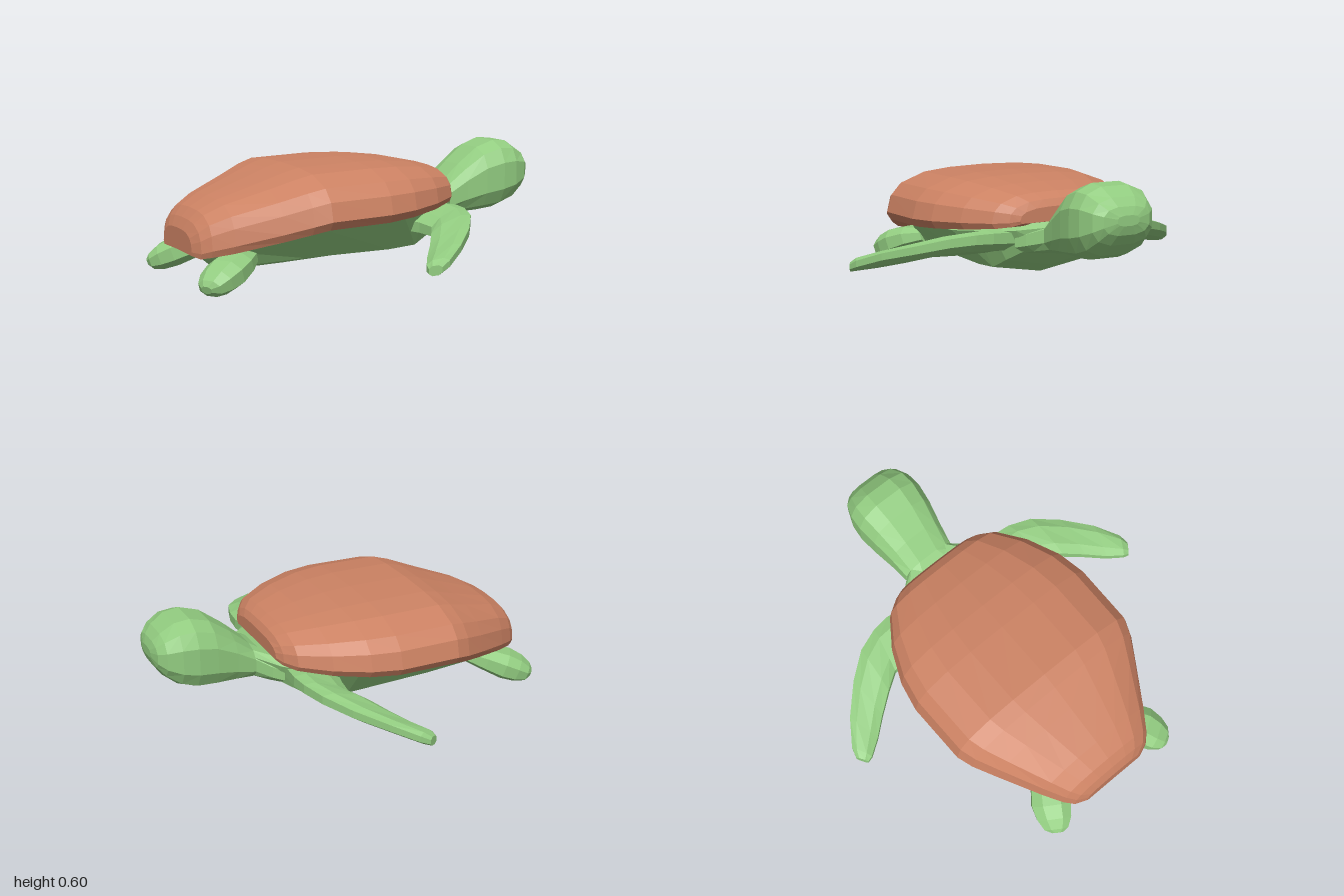
import * as THREE from 'three';

const GREEN = new THREE.MeshStandardMaterial({ color: 0x92cc80, flatShading: true });
const BROWN = new THREE.MeshStandardMaterial({ color: 0xcc8263, flatShading: true });

// Skin a row of closed rings of [x, y, z] points and cap both ends; faces always point outward.
function loft(name, rings, material) {
  const n = rings[0].length;
  const pos = rings.flat(2);
  const index = [];
  for (let r = 0; r < rings.length - 1; r++) {
    for (let i = 0; i < n; i++) {
      const a = r * n + i, b = r * n + (i + 1) % n;
      index.push(a, b, b + n, a, b + n, a + n);
    }
  }
  [0, rings.length - 1].forEach((r) => {
    const centre = [0, 1, 2].map((k) => rings[r].reduce((s, p) => s + p[k], 0) / n);
    const c = pos.length / 3;
    pos.push(...centre);
    for (let i = 0; i < n; i++) {
      const a = r * n + i, b = r * n + (i + 1) % n;
      index.push(...(r === 0 ? [c, b, a] : [c, a, b]));
    }
  });
  // Reverse the winding when the enclosed volume is negative
  const v = (i) => new THREE.Vector3().fromArray(pos, i * 3);
  let volume = 0;
  for (let i = 0; i < index.length; i += 3) {
    volume += v(index[i]).dot(v(index[i + 1]).cross(v(index[i + 2])));
  }
  if (volume < 0) index.reverse();
  const geo = new THREE.BufferGeometry();
  geo.setAttribute('position', new THREE.Float32BufferAttribute(pos, 3));
  geo.setIndex(index);
  const flat = geo.toNonIndexed();
  flat.computeVertexNormals();
  const mesh = new THREE.Mesh(flat, material);
  mesh.name = name;
  return mesh;
}

// Rounded-box outline on the unit square
function roundSection(sides, power) {
  return Array.from({ length: sides }, (_, i) => {
    const t = ((i + 0.5) / sides) * Math.PI * 2;
    const f = (k) => Math.sign(k) * Math.abs(k) ** power;
    return [f(Math.cos(t)), f(Math.sin(t))];
  });
}

// Complete a half outline of [z, y] points (top centre to bottom centre) at station x
function mirrorRing(x, half) {
  const other = half.slice(1, -1).reverse().map(([z, y]) => [-z, y]);
  return [...half, ...other].map(([z, y]) => [x, y, z]);
}

function shell() {
  const dome = [[0, 1], [0.36, 0.98], [0.62, 0.92], [0.86, 0.73], [0.96, 0.5], [1, 0.16], [0.95, 0], [0, 0.03]];
  // x, bottom, top, half width
  const stations = [
    [-0.975, 0.17, 0.28, 0.18], [-0.95, 0.16, 0.33, 0.24], [-0.91, 0.17, 0.375, 0.28],
    [-0.82, 0.19, 0.425, 0.34], [-0.62, 0.245, 0.495, 0.46], [-0.5, 0.28, 0.54, 0.53],
    [-0.42, 0.30, 0.562, 0.56], [-0.1, 0.31, 0.57, 0.565], [0.05, 0.32, 0.565, 0.535],
    [0.22, 0.335, 0.545, 0.46], [0.36, 0.35, 0.515, 0.36], [0.405, 0.36, 0.485, 0.29],
    [0.425, 0.375, 0.45, 0.24],
  ];
  return loft('shell', stations.map(([x, lo, hi, w]) =>
    mirrorRing(x, dome.map(([u, v]) => [u * w, lo + v * (hi - lo)]))), BROWN);
}

function body() {
  // x, keel height, chine height, chine half width, top height, top half width
  const stations = [
    [-0.86, 0.12, 0.14, 0.12, 0.21, 0.18], [-0.77, 0.045, 0.1, 0.2, 0.21, 0.25],
    [-0.42, 0.05, 0.12, 0.26, 0.32, 0.42], [0.05, 0.065, 0.12, 0.27, 0.335, 0.42],
    [0.2, 0.085, 0.13, 0.27, 0.35, 0.37], [0.3, 0.135, 0.18, 0.25, 0.36, 0.33],
    [0.4, 0.205, 0.24, 0.19, 0.37, 0.25], [0.5, 0.235, 0.26, 0.1, 0.39, 0.13],
  ];
  return loft('body', stations.map(([x, keel, cy, cw, ty, tw]) =>
    mirrorRing(x, [[0, ty], [tw * 0.8, ty], [tw, ty - 0.03], [cw, cy], [0, keel]])), GREEN);
}

function head() {
  const section = roundSection(12, 0.72);
  // x, bottom, top, half width
  const stations = [
    [0.38, 0.21, 0.35, 0.25], [0.43, 0.22, 0.37, 0.215], [0.49, 0.23, 0.405, 0.15],
    [0.59, 0.232, 0.495, 0.165], [0.7, 0.235, 0.58, 0.187], [0.8, 0.245, 0.613, 0.2],
    [0.88, 0.275, 0.605, 0.193], [0.95, 0.335, 0.56, 0.165], [0.985, 0.385, 0.52, 0.125],
    [1, 0.43, 0.48, 0.06],
  ];
  return loft('headAndNeck', stations.map(([x, lo, hi, w]) =>
    section.map(([a, b]) => [x, (lo + hi) / 2 + b * (hi - lo) / 2, a * w])), GREEN);
}

// Swept-back paddle, lofted between leading and trailing edges
function frontFlipper(name, side) {
  const section = roundSection(8, 0.8);
  // leading edge xyz, trailing edge xyz, half thickness
  const stations = [
    [0.38, 0.30, 0.2, 0.1, 0.24, 0.24, 0.06], [0.395, 0.31, 0.36, 0.14, 0.24, 0.4, 0.055],
    [0.385, 0.31, 0.45, 0.15, 0.235, 0.5, 0.05], [0.345, 0.297, 0.57, 0.09, 0.225, 0.59, 0.046],
    [0.25, 0.262, 0.7, 0.02, 0.19, 0.69, 0.042], [0.12, 0.22, 0.83, -0.05, 0.16, 0.78, 0.037],
    [0.0, 0.172, 0.915, -0.1, 0.148, 0.86, 0.034], [-0.05, 0.15, 0.928, -0.105, 0.138, 0.89, 0.025],
  ];
  return loft(name, stations.map(([lx, ly, lz, tx, ty, tz, h]) =>
    section.map(([a, b]) => {
      const k = (1 + a) / 2;
      return [tx + (lx - tx) * k, ty + (ly - ty) * k + b * h, (tz + (lz - tz) * k) * side];
    })), GREEN);
}

// Stubby rear paddle, tapering outward, back and down
function rearFlipper(name, side) {
  const section = roundSection(8, 0.85);
  const axis = new THREE.Vector3(-0.24, -0.1, 0.15).normalize();
  const across = new THREE.Vector3(0, 1, 0).cross(axis).normalize();
  const up = axis.clone().cross(across);
  // centre xyz, half width, half thickness
  const stations = [
    [-0.7, 0.15, 0.21, 0.06, 0.045], [-0.78, 0.132, 0.265, 0.095, 0.065],
    [-0.86, 0.1, 0.315, 0.105, 0.075], [-0.92, 0.072, 0.345, 0.092, 0.066],
    [-0.965, 0.05, 0.368, 0.065, 0.045], [-0.985, 0.045, 0.375, 0.03, 0.02],
  ];
  return loft(name, stations.map(([x, y, z, w, h]) =>
    section.map(([a, b]) => {
      const p = new THREE.Vector3(x, y, z).addScaledVector(across, a * w).addScaledVector(up, b * h);
      return [p.x, p.y, p.z * side];
    })), GREEN);
}

export function createModel() {
  const model = new THREE.Group();
  model.name = 'turtle';
  model.add(shell(), body(), head());
  for (const [label, side] of [['Near', 1], ['Far', -1]]) {
    model.add(frontFlipper('frontFlipper' + label, side), rearFlipper('rearFlipper' + label, side));
  }
  return model;
}
